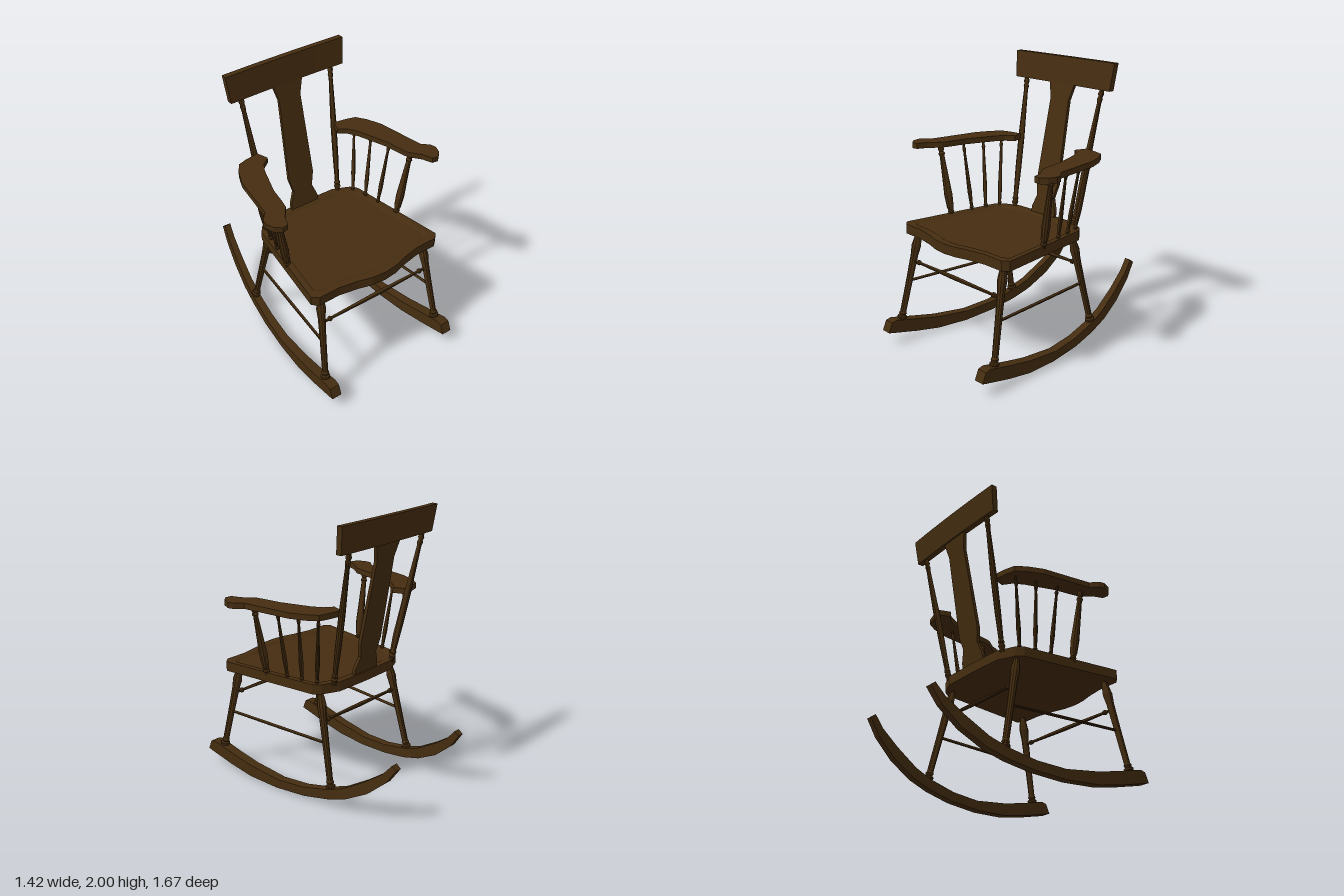
import * as THREE from 'three';

const wood = new THREE.MeshStandardMaterial({ color: 0x452d10, flatShading: true });
wood.name = 'darkWood';

function add(group, name, geometry) {
  const mesh = new THREE.Mesh(geometry, wood);
  mesh.name = name;
  group.add(mesh);
  return mesh;
}

// Skin a series of equal-length rings of [x, y, z], closing both ends with a fan
function loft(rings) {
  const n = rings[0].length;
  const centre = (r) => [0, 1, 2].map((k) => r.reduce((sum, p) => sum + p[k], 0) / n);
  const collapse = (r) => r.map(() => centre(r));
  const all = [collapse(rings[0]), ...rings, collapse(rings[rings.length - 1])];
  const index = [];
  for (let i = 0; i < all.length - 1; i++) {
    for (let j = 0; j < n; j++) {
      const a = i * n + j, b = i * n + (j + 1) % n;
      if (i > 0) index.push(a, b, b + n);
      else index.push(a, b + n, a + n);
      if (i > 0 && i < all.length - 2) index.push(a, b + n, a + n);
    }
  }
  const g = new THREE.BufferGeometry();
  g.setAttribute('position', new THREE.Float32BufferAttribute(all.flat(2), 3));
  g.setIndex(index);
  g.computeVertexNormals();
  return g;
}

// Turned piece between two points; profile is [fraction along, radius]
function turned(group, name, from, to, profile) {
  const a = new THREE.Vector3(...from), b = new THREE.Vector3(...to);
  const dir = b.clone().sub(a), len = dir.length();
  const pts = profile.map(([t, r]) => new THREE.Vector2(r, t * len));
  const mesh = add(group, name, new THREE.LatheGeometry(pts, 10));
  mesh.position.copy(a);
  mesh.quaternion.setFromUnitVectors(new THREE.Vector3(0, 1, 0), dir.normalize());
}

const legProfile = [[0, 0.024], [0.05, 0.024], [0.06, 0.034], [0.08, 0.034], [0.09, 0.022], [0.11, 0.028],
  [0.13, 0.022], [0.5, 0.024], [0.74, 0.027], [0.84, 0.034], [0.9, 0.028], [0.96, 0.02], [1, 0.018]];
const postProfile = [[0, 0.018], [0.03, 0.018], [0.045, 0.025], [0.06, 0.018], [0.075, 0.023], [0.09, 0.017],
  [0.3, 0.022], [0.55, 0.023], [0.9, 0.015], [0.925, 0.02], [0.94, 0.015], [0.96, 0.021], [0.98, 0.016], [1, 0.016]];
const armPostProfile = [[0, 0.017], [0.04, 0.017], [0.06, 0.025], [0.08, 0.018], [0.13, 0.025], [0.3, 0.03],
  [0.42, 0.027], [0.85, 0.017], [0.88, 0.024], [0.91, 0.016], [0.94, 0.022], [1, 0.018]];
const spindleProfile = [[0, 0.01], [0.05, 0.011], [0.07, 0.016], [0.09, 0.011], [0.3, 0.016],
  [0.85, 0.009], [0.9, 0.014], [0.93, 0.009], [1, 0.009]];
const crossProfile = [[0, 0.01], [0.05, 0.01], [0.06, 0.018], [0.075, 0.018], [0.085, 0.01],
  [0.5, 0.016], [0.915, 0.01], [0.925, 0.018], [0.94, 0.018], [0.95, 0.01], [1, 0.01]];

// Seat: shaped slab with a shallow dished top
function buildSeat(group) {
  const half = [[0, 0.697], [0.1, 0.687], [0.2, 0.658], [0.34, 0.632], [0.5, 0.632], [0.543, 0.595],
    [0.435, -0.15], [0.395, -0.2], [0.27, -0.255], [0, -0.262]];
  const outline = [...half, ...half.slice(1, -1).reverse().map(([x, z]) => [-x, z])];
  const ring = (y, sx, sz) => outline.map(([x, z]) => [x * sx, y, 0.19 + (z - 0.19) * sz]);
  add(group, 'seat', loft([ring(0.8, 1, 1), ring(0.87, 1, 1), ring(0.87, 0.92, 0.9), ring(0.858, 0.88, 0.85)]));
}

// Rocker: tapering curved runner, stations of [z bottom, y bottom, z top, y top] from back to front
function buildRocker(group, s, side) {
  const stations = [[-0.835, 0.44, -0.8, 0.467], [-0.76, 0.33, -0.73, 0.385], [-0.62, 0.205, -0.6, 0.29],
    [-0.45, 0.11, -0.43, 0.185], [-0.3, 0.06, -0.3, 0.135], [-0.1, 0.02, -0.09, 0.087], [0.15, 0, 0.13, 0.07],
    [0.4, 0.01, 0.4, 0.1], [0.6, 0.045, 0.58, 0.137], [0.8, 0.09, 0.77, 0.18], [0.84, 0.1, 0.81, 0.17]];
  const rings = stations.map(([zb, yb, zt, yt]) => {
    const z = (zb + zt) / 2;
    const c = s * (0.455 + 0.1 * z - 0.042 * z * z), w = 0.031 + 0.0085 * z;
    return [[c - w, yb, zb], [c + w, yb, zb], [c + w, yt, zt], [c - w, yt, zt]];
  });
  add(group, side + 'Rocker', loft(rings));
}

// Armrest: flat curved board with a rounded hand end
function buildArm(group, s, side) {
  const outline = [[0.33, -0.32], [0.43, -0.305], [0.5, -0.285], [0.55, -0.21], [0.595, -0.1], [0.625, 0.1],
    [0.65, 0.26], [0.7, 0.31], [0.71, 0.35], [0.688, 0.41], [0.645, 0.448], [0.6, 0.44], [0.574, 0.37],
    [0.51, 0.285], [0.497, 0.23], [0.475, 0.1], [0.4, -0.12], [0.36, -0.19], [0.3, -0.235]];
  const shape = new THREE.Shape(outline.map(([x, z]) => new THREE.Vector2(s * x, -z)));
  const g = new THREE.ExtrudeGeometry(shape, { depth: 0.04, bevelEnabled: false });
  g.rotateX(-Math.PI / 2).translate(0, 1.365, 0);
  add(group, side + 'Armrest', g);
}

// Back splat: waisted board leaning backwards
function buildSplat(group) {
  const half = [[0.115, 0.86], [0.115, 0.91], [0.08, 1.0], [0.105, 1.1], [0.088, 1.7], [0.122, 1.82]];
  const pts = [...half, ...half.slice().reverse().map(([x, y]) => [-x, y])];
  const shape = new THREE.Shape(pts.map(([x, y]) => new THREE.Vector2(x, y)));
  const g = new THREE.ExtrudeGeometry(shape, { depth: 0.025, bevelEnabled: false });
  const p = g.attributes.position;
  for (let i = 0; i < p.count; i++) p.setZ(i, p.getZ(i) - 0.25 - (p.getY(i) - 0.87) * 0.196);
  g.computeVertexNormals();
  add(group, 'backSplat', g);
}

// Top rail: slightly bowed, flared and leaning board
function buildTopRail(group) {
  const g = new THREE.BoxGeometry(0.92, 0.19, 0.042, 8, 1, 1);
  const p = g.attributes.position;
  for (let i = 0; i < p.count; i++) {
    const up = p.getY(i) / 0.19 + 0.5, u = p.getX(i) / 0.46;
    p.setXYZ(i, p.getX(i) * (1 + 0.038 * up), 1.81 + 0.19 * up,
      p.getZ(i) - 0.417 - 0.025 * up - 0.008 * (1 - u * u));
  }
  g.computeVertexNormals();
  add(group, 'topRail', g);
}

export function createModel() {
  const chair = new THREE.Group();
  chair.name = 'rockingChair';
  buildSeat(chair);
  buildSplat(chair);
  buildTopRail(chair);

  for (const [s, side] of [[1, 'left'], [-1, 'right']]) {
    buildRocker(chair, s, side);
    buildArm(chair, s, side);
    turned(chair, side + 'FrontLeg', [s * 0.507, 0.13, 0.709], [s * 0.445, 0.82, 0.561], legProfile);
    turned(chair, side + 'BackLeg', [s * 0.422, 0.1, -0.314], [s * 0.362, 0.82, -0.155], legProfile);
    turned(chair, side + 'BackPost', [s * 0.304, 0.85, -0.231], [s * 0.371, 1.82, -0.425], postProfile);
    turned(chair, side + 'SideStretcher', [s * 0.395, 0.45, -0.235], [s * 0.478, 0.45, 0.64],
      [[0, 0.01], [0.5, 0.011], [1, 0.01]]);
    turned(chair, side + 'ArmPost', [s * 0.478, 0.85, 0.238], [s * 0.568, 1.37, 0.256], armPostProfile);

    // Thin arm spindles: [x bottom, z bottom, x top, z top]
    for (const [xb, zb, xt, zt] of [[0.445, 0.068, 0.525, 0.076], [0.42, -0.045, 0.49, -0.087],
      [0.39, -0.155, 0.452, -0.235]]) {
      turned(chair, side + 'ArmSpindle', [s * xb, 0.85, zb], [s * xt, 1.37, zt], spindleProfile);
    }
  }

  // Cross stretchers between the leg pairs
  turned(chair, 'frontStretcher', [-0.46, 0.6, 0.608], [0.46, 0.6, 0.608], crossProfile);
  turned(chair, 'backStretcher', [-0.38, 0.6, -0.203], [0.38, 0.6, -0.203], crossProfile);
  return chair;
}
